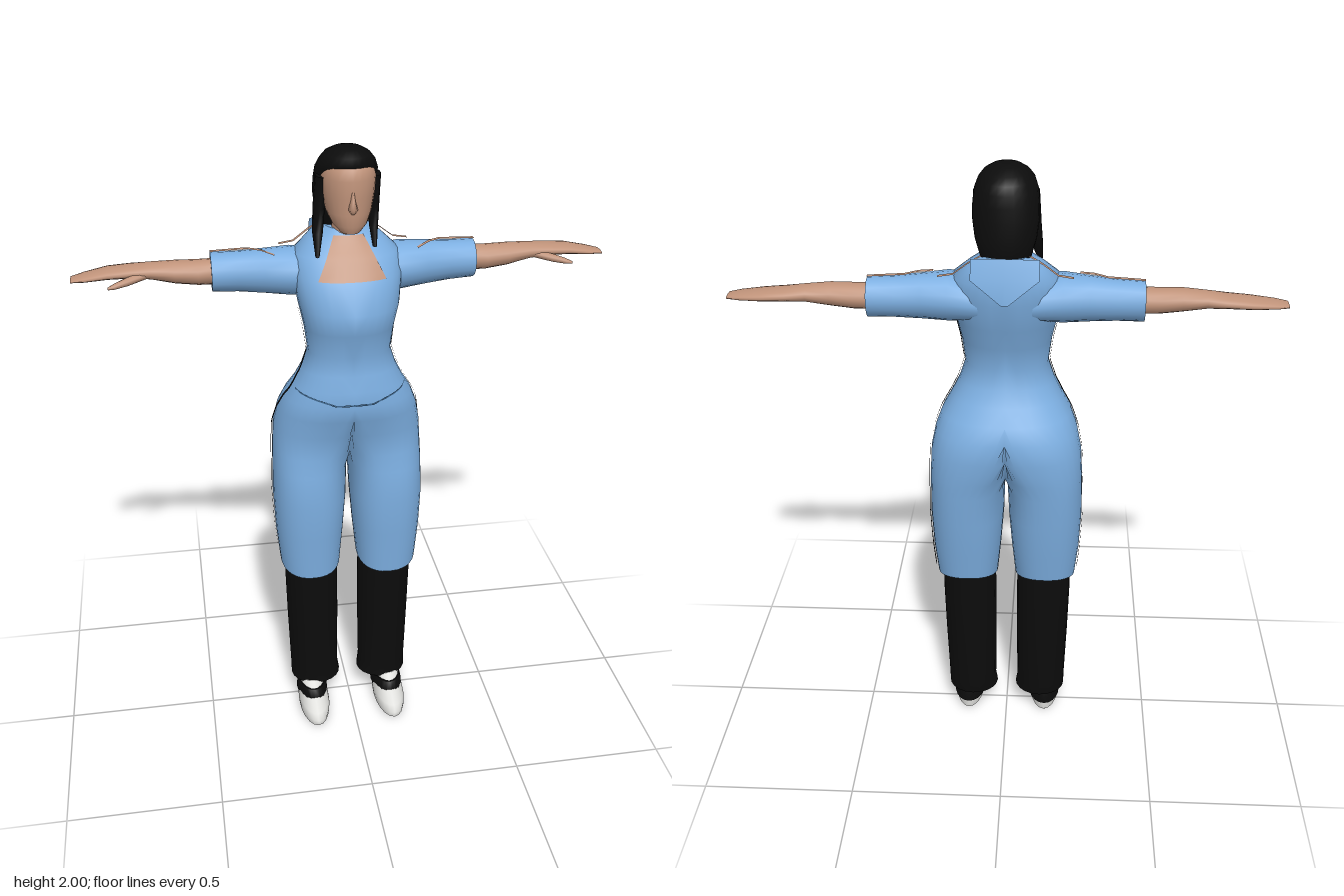
import * as THREE from 'three';

const mat = (name, color, side = THREE.FrontSide) => {
  const m = new THREE.MeshStandardMaterial({ color, side });
  m.name = name;
  return m;
};
const { lerp } = THREE.MathUtils;
const spow = (v, e) => Math.sign(v) * Math.abs(v) ** e;
const P = 2.3; // roundness of the body sections

// Surface through rows of points; closed rows are wrapped and capped
function surface(rows, closed) {
  const n = rows[0].length, pos = [], idx = [];
  rows.forEach(r => r.forEach(p => pos.push(...p)));
  for (let i = 0; i < rows.length - 1; i++)
    for (let j = 0; j < (closed ? n : n - 1); j++) {
      const k = (j + 1) % n, a = i * n + j, b = i * n + k;
      idx.push(a, b, b + n, a, b + n, a + n);
    }
  if (closed) [0, rows.length - 1].forEach(i => {
    const start = pos.length / 3, r = rows[i];
    r.forEach(p => pos.push(...p));
    pos.push(...[0, 1, 2].map(c => r.reduce((s, p) => s + p[c], 0) / n));
    for (let j = 0; j < n; j++) {
      const k = (j + 1) % n;
      idx.push(start + n, start + (i ? j : k), start + (i ? k : j));
    }
  });
  const g = new THREE.BufferGeometry();
  g.setAttribute('position', new THREE.Float32BufferAttribute(pos, 3));
  g.setIndex(idx);
  g.computeVertexNormals();
  return g;
}

// Loft along y from [y, centre x, half width, z front, z back]
const loftY = (rings, n = 20) => surface(rings.map(([y, cx, rx, zf, zb]) =>
  Array.from({ length: n }, (_, j) => {
    const t = j / n * Math.PI * 2;
    return [cx + rx * Math.sin(t), y, (zf + zb) / 2 + (zf - zb) / 2 * Math.cos(t)];
  })), true);

// Loft along x from [x, centre y, half height, centre z, half depth]
const loftX = (rings, n = 16) => surface(rings.map(([x, cy, hy, cz, hz]) =>
  Array.from({ length: n }, (_, j) => {
    const t = j / n * Math.PI * 2;
    return [x, cy + hy * Math.cos(t), cz + hz * Math.sin(t)];
  })), true);

// Copy reflected to the other side, with the corner order reversed
function mirror(geo) {
  const g = geo.clone().scale(-1, 1, 1), a = g.index.array;
  for (let i = 0; i < a.length; i += 3) [a[i], a[i + 1]] = [a[i + 1], a[i]];
  return g;
}

// Half of the suit: [y, centre x, outer radius, inner radius, z front, z back, hem slant]
const BODY = [
  [0.59, 0.13, 0.103, 0.10, 0.09, -0.13, 0.27],
  [0.72, 0.13, 0.115, 0.112, 0.10, -0.145, 0],
  [0.85, 0.128, 0.122, 0.12, 0.11, -0.165, 0],
  [0.96, 0.125, 0.122, 0.121, 0.10, -0.175, 0],
  [1.02, 0.10, 0.145, 0.12, 0.09, -0.185, 0],
  [1.10, 0.06, 0.18, 0.12, 0.095, -0.196, 0],
  [1.17, 0.025, 0.20, 0.12, 0.125, -0.195, 0],
  [1.22, 0, 0.205, 0.12, 0.132, -0.17, 0],
  [1.27, 0, 0.175, 0.12, 0.128, -0.135, 0],
  [1.32, 0, 0.15, 0.12, 0.115, -0.11, 0],
  [1.38, 0, 0.13, 0.12, 0.107, -0.095, 0],
  [1.46, 0, 0.14, 0.12, 0.128, -0.115, 0],
  [1.53, 0, 0.155, 0.12, 0.145, -0.14, 0],
  [1.62, 0, 0.17, 0.12, 0.10, -0.165, 0],
  [1.68, 0, 0.16, 0.12, 0.06, -0.165, 0],
  [1.72, 0, 0.115, 0.12, 0.025, -0.16, 0],
  [1.755, 0, 0.065, 0.06, 0.0, -0.155, 0],
];
function bodyHalf() {
  const n = 32;
  const g = surface(BODY.map(([y, cx, ro, ri, zf, zb, tilt]) =>
    Array.from({ length: n }, (_, j) => {
      const t = j / n * Math.PI * 2, s = spow(Math.sin(t), 2 / P);
      const z = (zf + zb) / 2 + (zf - zb) / 2 * spow(Math.cos(t), 2 / P);
      return [Math.max(0, cx + s * (s > 0 ? ro : ri)), y - z * tilt, z];
    })), true);
  // keep the shading continuous over the centre line
  const p = g.attributes.position, q = g.attributes.normal;
  for (let i = 0; i < p.count; i++) {
    const l = Math.hypot(q.getY(i), q.getZ(i));
    if (p.getX(i) < 1e-4 && l > 1e-3) q.setXYZ(i, 0, q.getY(i) / l, q.getZ(i) / l);
  }
  return g;
}
const section = y => {
  const i = Math.max(0, BODY.findIndex(r => r[0] >= y) - 1);
  const t = (y - BODY[i][0]) / (BODY[i + 1][0] - BODY[i][0]);
  return BODY[i].map((v, k) => lerp(v, BODY[i + 1][k], t));
};
const curveOf = u => Math.max(0, 1 - Math.abs(u) ** P) ** (1 / P);
const frontZ = (x, y) => {
  const [, cx, ro, , zf, zb] = section(y);
  return (zf + zb) / 2 + (zf - zb) / 2 * curveOf(Math.max(0, Math.abs(x) - cx) / ro) + 0.004;
};
const sideX = (y, z) => {
  const [, cx, ro, , zf, zb] = section(y);
  return cx + ro * curveOf((z - (zf + zb) / 2) / ((zf - zb) / 2)) + 0.004;
};
// Thin band along points, widened by the vector w
const ribbon = (pts, w) => surface(pts.map(p => [-1, 1].map(s => p.map((v, k) => v + s * w[k]))), false);

export function createModel() {
  const model = new THREE.Group();
  const D = THREE.DoubleSide;
  const blue = mat('blueCloth', 0x7caee0, D), seam = mat('seamBlue', 0x41698f, D);
  const skin = mat('skin', 0xc0937a, D), black = mat('black', 0x0c0c0c, D), white = mat('shoeWhite', 0xdededb);
  const add = (name, geo, m) => {
    const mesh = new THREE.Mesh(geo, m);
    mesh.name = name;
    model.add(mesh);
  };
  const pair = (name, geo, m) => {
    add(name + 'Left', geo, m);
    add(name + 'Right', mirror(geo), m);
  };

  // Suit with sleeves
  pair('suit', bodyHalf(), blue);
  pair('sleeve', loftX([[0.08, 1.61, 0.065, -0.06, 0.09], [0.17, 1.615, 0.074, -0.062, 0.088],
    [0.25, 1.615, 0.068, -0.07, 0.068], [0.33, 1.615, 0.062, -0.078, 0.06], [0.41, 1.615, 0.06, -0.086, 0.06]]), blue);

  // Pointed flap of the collar on the back
  add('collarFlap', surface([
    [[-0.10, 1.752, -0.13], [0, 1.765, -0.162], [0.10, 1.752, -0.13]],
    [[-0.10, 1.70, -0.165], [0, 1.70, -0.178], [0.10, 1.70, -0.165]],
    [[-0.01, 1.63, -0.184], [0, 1.63, -0.184], [0.01, 1.63, -0.184]],
  ], false), blue);

  // Open neckline, shoulder slits and the gap behind the collar
  add('neckline', surface(Array.from({ length: 9 }, (_, i) => {
    const y = lerp(1.623, 1.74, i / 8), w = lerp(0.103, 0.045, i / 8);
    return Array.from({ length: 9 }, (_, j) => {
      const x = lerp(-w, w, j / 8);
      return [x, y, frontZ(x, y)];
    });
  }), false), skin);
  pair('shoulderSlit', ribbon([[0.22, 1.678, -0.025], [0.26, 1.686, -0.055], [0.30, 1.685, -0.08],
    [0.41, 1.68, -0.085]], [0, 0, 0.008]), skin);
  pair('collarGap', ribbon([[0, 1.758, -0.1], [0.06, 1.759, -0.1], [0.11, 1.729, -0.1],
    [0.155, 1.695, -0.1], [0.2, 1.688, -0.1]], [0, 0, 0.008]), skin);

  // Waist seam and side stripes
  add('waistSeam', ribbon(Array.from({ length: 25 }, (_, i) => {
    const x = lerp(-0.175, 0.175, i / 24), y = 1.232 + 0.14 * Math.max(0, Math.abs(x) - 0.06) ** 0.8 * 1.2;
    return [x, y, frontZ(x, y)];
  }), [0, 0.003, 0]), seam);
  const line = [[0.63, -0.05], [1.08, -0.075], [1.25, 0.008], [1.35, 0.012], [1.53, 0]];
  const stripe = [];
  for (let i = 0; i < 4; i++)
    for (let k = 0; k < 12; k++) {
      const y = lerp(line[i][0], line[i + 1][0], k / 12), z = lerp(line[i][1], line[i + 1][1], k / 12);
      stripe.push([sideX(y, z), y, z]);
    }
  pair('sideStripe', ribbon(stripe, [0, 0, 0.007]), black);

  // Arms and hands
  pair('arm', loftX([[0.36, 1.617, 0.04, -0.083, 0.043], [0.45, 1.617, 0.038, -0.083, 0.046],
    [0.52, 1.622, 0.034, -0.084, 0.045], [0.59, 1.627, 0.025, -0.092, 0.042], [0.65, 1.627, 0.019, -0.1, 0.046],
    [0.72, 1.624, 0.016, -0.102, 0.046], [0.79, 1.617, 0.011, -0.093, 0.038], [0.83, 1.613, 0.005, -0.088, 0.028]]), skin);
  pair('thumb', loftX([[0.60, 1.622, 0.012, -0.075, 0.02], [0.66, 1.612, 0.013, -0.047, 0.016],
    [0.70, 1.604, 0.009, -0.032, 0.011], [0.72, 1.60, 0.004, -0.026, 0.005]], 10), skin);

  // Trouser legs
  pair('trouserLeg', loftY([[0.09, 0.12, 0.087, 0.068, -0.09], [0.13, 0.123, 0.084, 0.066, -0.098],
    [0.35, 0.125, 0.089, 0.07, -0.11], [0.52, 0.127, 0.091, 0.075, -0.114], [0.66, 0.128, 0.09, 0.075, -0.114]]), black);

  // Shoes
  pair('sole', loftY([[0, 0.137, 0.048, 0.19, -0.065], [0.006, 0.137, 0.05, 0.193, -0.068]]), black);
  pair('shoe', loftY([[0.005, 0.137, 0.052, 0.197, -0.07], [0.025, 0.137, 0.054, 0.2, -0.072],
    [0.042, 0.137, 0.052, 0.18, -0.072], [0.065, 0.137, 0.047, 0.125, -0.07], [0.1, 0.137, 0.042, 0.07, -0.06]]), white);
  pair('shoeUpper', loftY([[0.036, 0.137, 0.0545, 0.1, -0.075], [0.062, 0.137, 0.052, 0.128, -0.074],
    [0.085, 0.137, 0.047, 0.1, -0.068]]), black);

  // Neck, head and nose
  add('neck', loftY([[1.66, 0, 0.06, 0.03, -0.1], [1.74, 0, 0.045, 0.01, -0.09], [1.82, 0, 0.045, 0.03, -0.08]]), skin);
  add('head', loftY([[1.762, 0, 0.03, 0.075, 0], [1.785, 0, 0.052, 0.085, -0.04], [1.82, 0, 0.068, 0.088, -0.08],
    [1.87, 0, 0.078, 0.09, -0.1], [1.92, 0, 0.082, 0.092, -0.1], [1.955, 0, 0.072, 0.083, -0.09],
    [1.975, 0, 0.045, 0.05, -0.06]], 24), skin);
  add('nose', loftY([[1.825, 0, 0.006, 0.092, 0.07], [1.84, 0, 0.014, 0.11, 0.07],
    [1.865, 0, 0.008, 0.1, 0.07], [1.89, 0, 0.005, 0.093, 0.07]], 8), skin);

  // Hair with loose strands beside the face
  add('hair', loftY([[1.715, 0, 0.045, -0.08, -0.12], [1.75, 0, 0.075, -0.04, -0.135], [1.80, 0, 0.09, -0.02, -0.14],
    [1.86, 0, 0.098, 0.0, -0.138], [1.90, 0, 0.097, 0.025, -0.135], [1.935, 0, 0.093, 0.06, -0.132],
    [1.96, 0, 0.083, 0.086, -0.122], [1.98, 0, 0.067, 0.068, -0.1], [1.995, 0, 0.042, 0.035, -0.06],
    [2.0, 0, 0.02, 0.015, -0.035]], 24), black);
  add('strandRight', loftY([[1.69, -0.1, 0.006, 0.06, 0.04], [1.75, -0.092, 0.016, 0.025, -0.03],
    [1.82, -0.085, 0.018, 0.01, -0.05], [1.92, -0.08, 0.016, 0.03, -0.05]], 10), black);
  add('strandLeft', loftY([[1.71, 0.075, 0.006, 0.045, 0.025], [1.76, 0.078, 0.013, 0.015, -0.03],
    [1.82, 0.08, 0.016, 0.01, -0.05], [1.92, 0.082, 0.016, 0.03, -0.05]], 10), black);

  return model;
}
